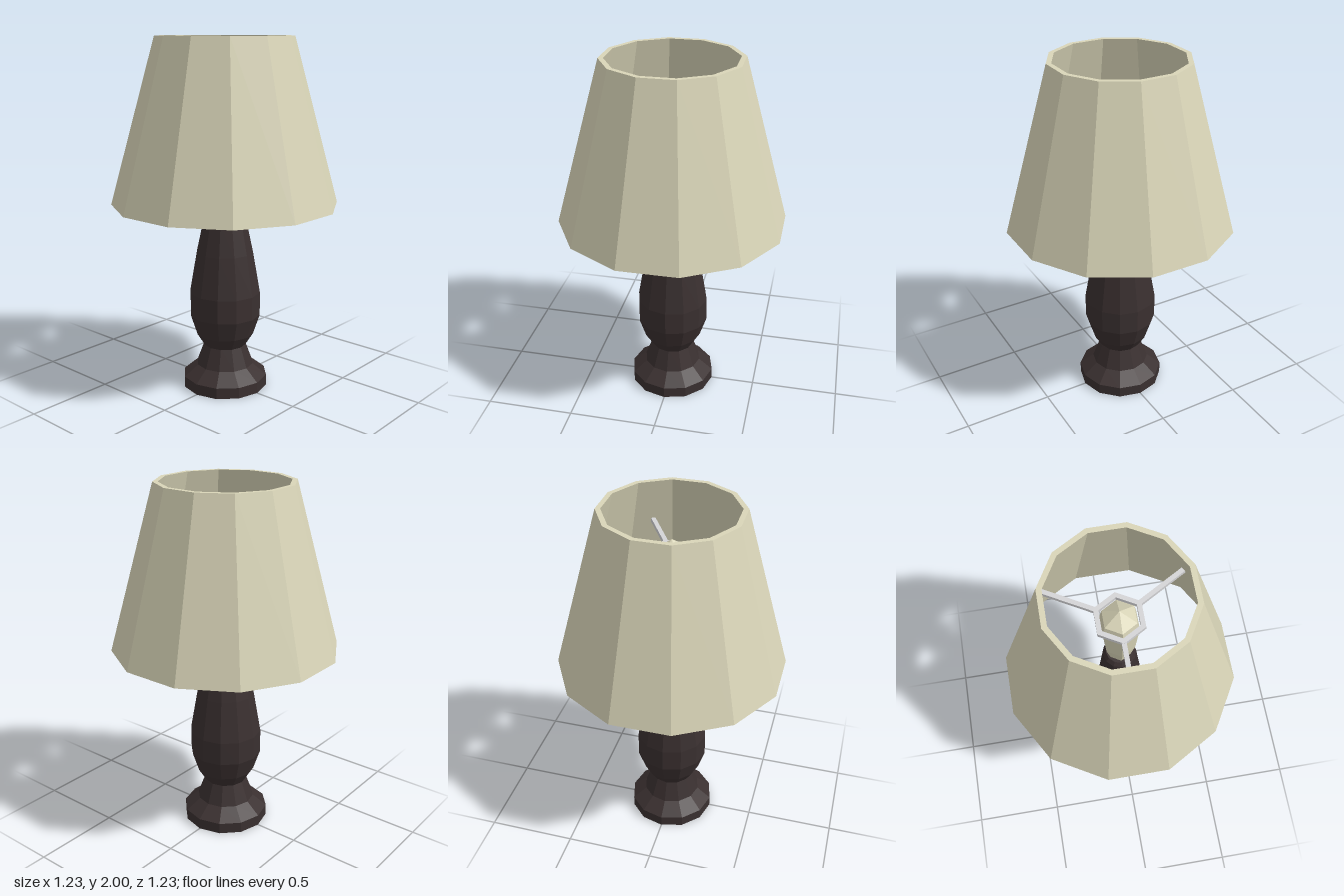
import * as THREE from 'three';

export function createModel() {
  const group = new THREE.Group();
  group.name = 'tableLamp';

  const material = (name, color) => {
    const m = new THREE.MeshStandardMaterial({ color, flatShading: true });
    m.name = name;
    return m;
  };
  const darkWood = material('darkWood', 0x3a3030);
  const cream = material('creamFabric', 0xd9d5b8);
  const metal = material('paleMetal', 0xd4d4d6);

  const add = (name, geometry, mat) => {
    const mesh = new THREE.Mesh(geometry, mat);
    mesh.name = name;
    group.add(mesh);
    return mesh;
  };
  // Profiles are [radius, height], running upward on the outside
  const turned = (profile, sides, start = 0) => new THREE.LatheGeometry(
    profile.map(([r, y]) => new THREE.Vector2(r, y)), sides, start);

  // Turned foot with a flared waist
  add('foot', turned([
    [0, 0], [0.245, 0], [0.245, 0.063], [0.165, 0.128], [0.12, 0.25], [0, 0.25],
  ], 12), darkWood);

  // Vase-shaped column and tapering neck
  add('column', turned([
    [0, 0.245], [0.122, 0.245], [0.166, 0.315], [0.204, 0.43], [0.204, 0.565],
    [0.163, 0.8], [0.122, 0.99], [0.113, 1.08], [0.088, 1.32], [0.072, 1.345], [0, 1.345],
  ], 12), darkWood);

  // Six-sided bulb with a shallow pointed cap
  add('bulb', turned([
    [0, 1.34], [0.06, 1.34], [0.085, 1.46], [0.105, 1.7], [0.092, 1.77], [0, 1.835],
  ], 6), cream);

  // Hexagonal holder ring around the bulb
  const ringY = 1.75, t = 0.0125;
  add('holderRing', turned([
    [0.108, ringY - t], [0.136, ringY - t], [0.136, ringY + t],
    [0.108, ringY + t], [0.108, ringY - t],
  ], 6), metal);

  // Three arms joining the ring to the shade
  const inner = 0.122, outer = 0.415;
  for (let i = 0; i < 3; i++) {
    const arm = new THREE.BoxGeometry(0.024, 0.024, outer - inner);
    arm.translate(0, ringY, (inner + outer) / 2);
    arm.rotateY(i * Math.PI * 2 / 3);
    add('shadeArm' + (i + 1), arm, metal);
  }

  // Open twelve-sided shade with wall thickness, flat sides facing the axes
  add('shade', turned([
    [0.607, 1.08], [0.636, 1.08], [0.38, 2], [0.352, 2], [0.607, 1.08],
  ], 12, Math.PI / 12), cream);

  return group;
}
